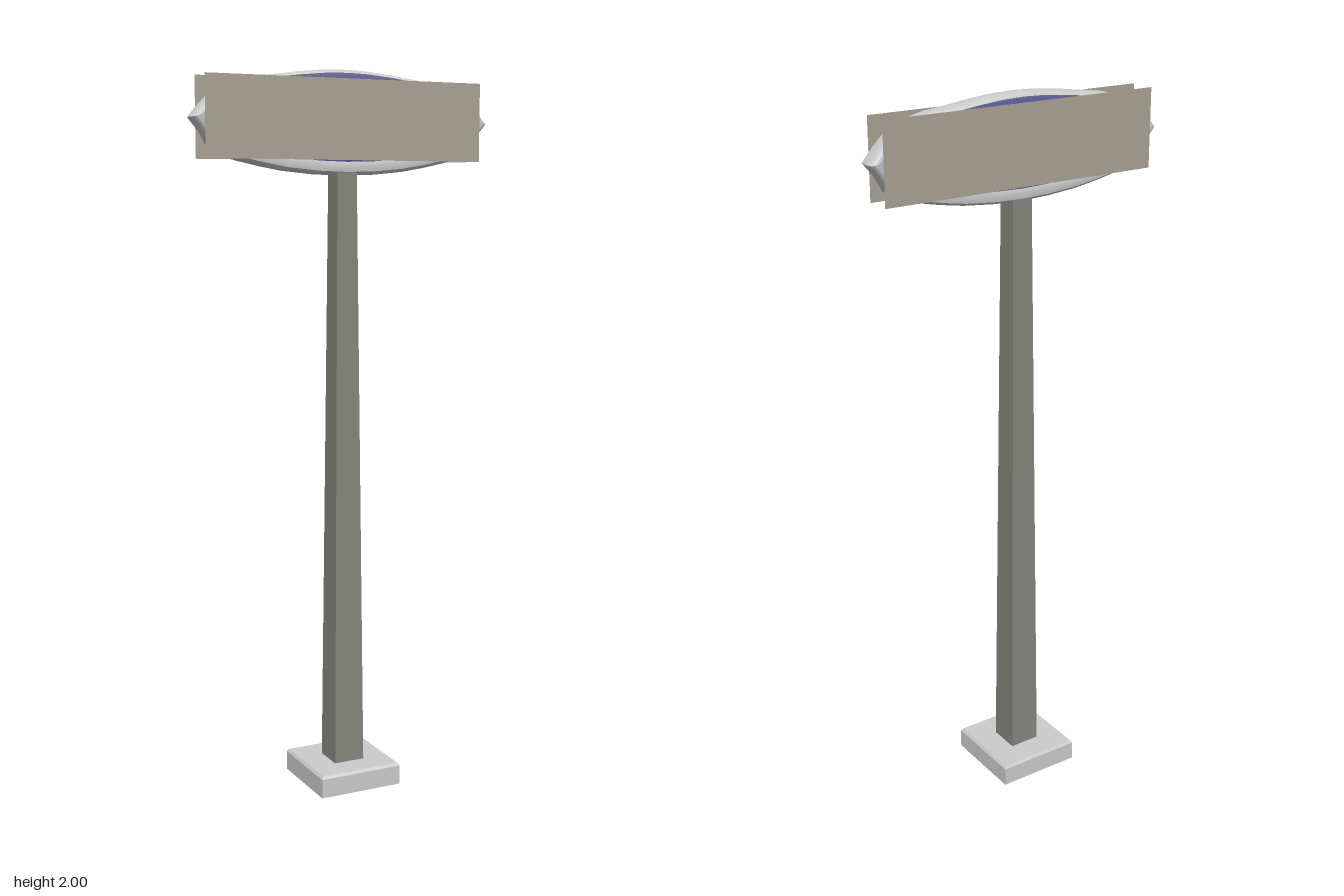
import * as THREE from 'three';
import { toCreasedNormals } from 'three/addons/utils/BufferGeometryUtils.js';

const paint = (color) => new THREE.MeshStandardMaterial({ color, side: THREE.DoubleSide });

// Plaque outline on a unit scale, starting at the top and running clockwise
const half = [[0, 1], [0.15, 0.985], [0.32, 0.93], [0.46, 0.87], [0.6, 0.82], [0.74, 0.72],
  [0.86, 0.52], [0.93, 0.3], [1, 0.04], [0.93, -0.22], [0.88, -0.5], [0.82, -0.64],
  [0.7, -0.74], [0.55, -0.84], [0.4, -0.92], [0.2, -0.98], [0, -1]];
const outline = [...half, ...half.slice(1, -1).reverse().map(([x, y]) => [-x, y])];

// Skins loops of the outline; each section is [halfWidth, halfHeight, centreY, z]
function loft(sections) {
  const n = outline.length, pos = [], index = [];
  for (const [w, h, cy, z] of sections)
    for (const [x, y] of outline) pos.push(x * w, cy + y * h, z);
  for (let s = 0; s < sections.length - 1; s++)
    for (let i = 0; i < n; i++) {
      const a = s * n + i, b = s * n + (i + 1) % n;
      index.push(a, a + n, b, b, a + n, b + n);
    }
  const g = new THREE.BufferGeometry();
  g.setAttribute('position', new THREE.Float32BufferAttribute(pos, 3));
  g.setIndex(index);
  return toCreasedNormals(g, 0.7);
}

export function createModel() {
  const model = new THREE.Group();
  const grey = paint(0xcccccc), steel = paint(0x85877e), blue = paint(0x5a5aa8), tan = paint(0xaaa294);
  const add = (name, geometry, material, parent = model) => {
    const mesh = new THREE.Mesh(geometry, material);
    mesh.name = name;
    parent.add(mesh);
    return mesh;
  };

  // Hollow foot: four walls, a lid with a softened edge and a socket underneath
  const foot = new THREE.Group();
  foot.name = 'foot';
  model.add(foot);
  for (let i = 0; i < 4; i++) {
    const a = i * Math.PI / 2;
    const wall = add('footWall', new THREE.BoxGeometry(0.245, 0.054, 0.008), grey, foot);
    wall.position.set(Math.sin(a) * 0.1185, 0.027, Math.cos(a) * 0.1185);
    wall.rotation.y = a;
  }
  const lid = new THREE.CylinderGeometry(0.117 * Math.SQRT2, 0.1225 * Math.SQRT2, 0.008, 4);
  lid.rotateY(Math.PI / 4);
  add('footLid', toCreasedNormals(lid, 0.3), grey, foot).position.y = 0.058;
  add('footSocket', new THREE.CylinderGeometry(0.028, 0.028, 0.05, 16, 1, true), grey, foot).position.y = 0.03;

  // Square tapered post
  const post = new THREE.CylinderGeometry(0.029 * Math.SQRT2, 0.045 * Math.SQRT2, 1.68, 4);
  post.rotateY(Math.PI / 4);
  add('post', toCreasedNormals(post, 0.3), steel).position.y = 0.9;

  // Plaque rim, rounded from front to back
  const rimHalf = [[0.405, 0.115, 1.871, 0.031], [0.415, 0.122, 1.868, 0.034],
    [0.43, 0.133, 1.862, 0.031], [0.438, 0.138, 1.86, 0.022], [0.44, 0.14, 1.86, 0.012]];
  const mirrored = [...rimHalf].reverse().map(([w, h, cy, z]) => [w, h, cy, -z]);
  add('plaqueRim', loft([...rimHalf, ...mirrored]), grey);

  // Blue inset and flat sign panel on both faces
  for (const side of [1, -1]) {
    const face = new THREE.Group();
    face.name = side > 0 ? 'frontFace' : 'backFace';
    face.rotation.y = side > 0 ? 0 : Math.PI;
    model.add(face);
    add('blueInset', loft([[0, 0, 1.873, 0.034], [0.38, 0.1, 1.873, 0.034], [0.415, 0.117, 1.872, 0.03]]), blue, face);
    add('signPanel', new THREE.PlaneGeometry(0.82, 0.215), tan, face).position.set(0, 1.868, 0.037);
  }
  return model;
}
